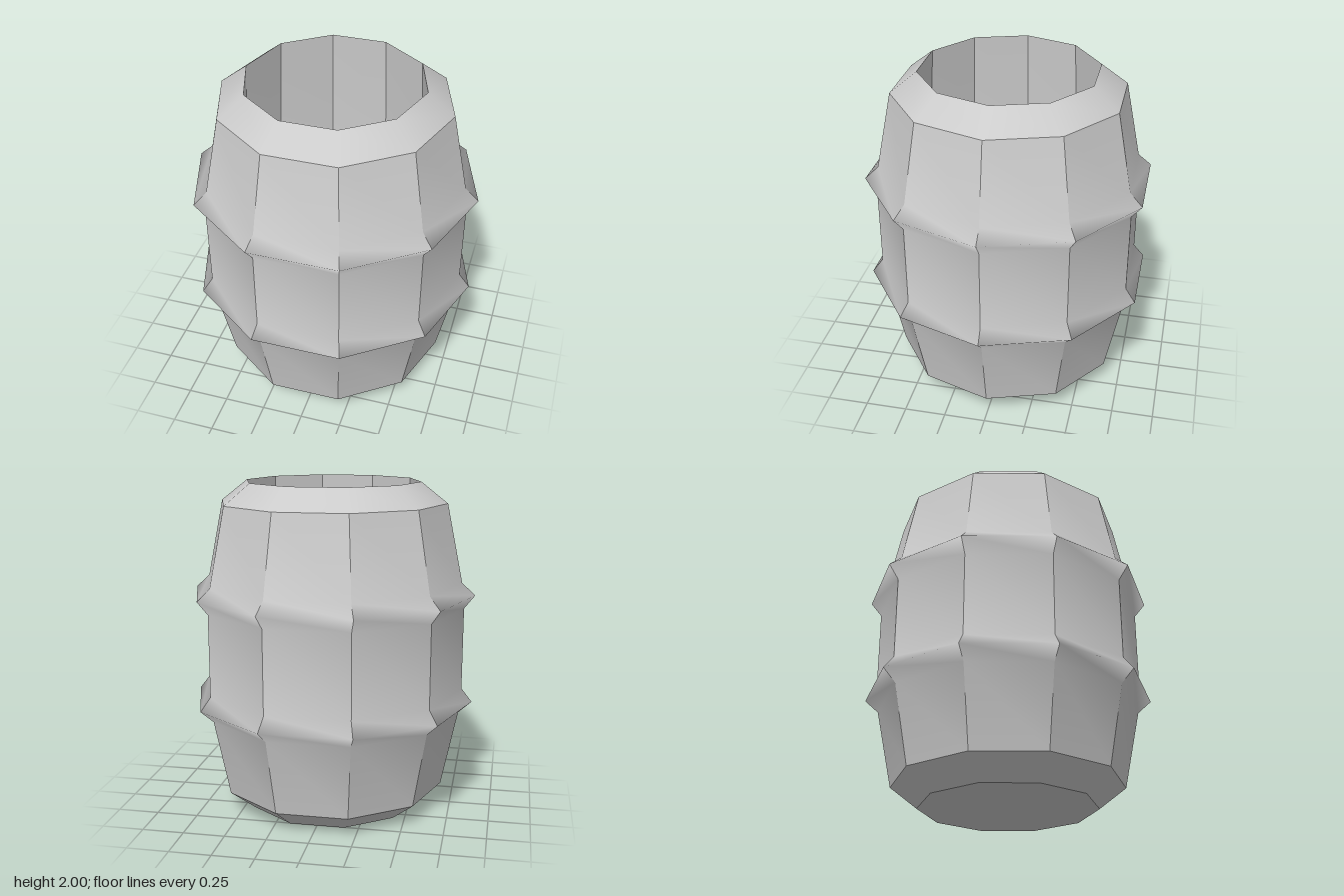
import * as THREE from 'three';
import { mergeGeometries } from 'three/addons/utils/BufferGeometryUtils.js';

const SIDES = 10;
const STEP = (Math.PI * 2) / SIDES;
const START = Math.PI / 2; // puts a corner on +x

const toPoints = (profile) => profile.map(([r, y]) => new THREE.Vector2(r, y));

// One strip per side: hard upright edges, smooth shading up and down
function facetedLathe(profile) {
  const strips = [];
  for (let i = 0; i < SIDES; i++) {
    const strip = new THREE.LatheGeometry(toPoints(profile), 1, START + i * STEP, STEP);
    strip.computeVertexNormals();
    strips.push(strip);
  }
  return mergeGeometries(strips);
}

const smoothLathe = (profile) => new THREE.LatheGeometry(toPoints(profile), SIDES, START);

function disc(radius, y, faceUp) {
  const geometry = new THREE.CircleGeometry(radius, SIDES);
  geometry.rotateX(faceUp ? -Math.PI / 2 : Math.PI / 2);
  return geometry.translate(0, y, 0);
}

export function createModel() {
  const group = new THREE.Group();
  const material = new THREE.MeshStandardMaterial({ color: 0xcccccc });
  const add = (name, geometry) => {
    const mesh = new THREE.Mesh(geometry, material);
    mesh.name = name;
    group.add(mesh);
  };

  // Bulging staves with two ridged hoops, mirrored about mid height
  const lower = [[0.69, 0.125], [0.787, 0.595], [0.867, 0.668], [0.803, 0.75]];
  const upper = lower.map(([r, y]) => [r, 2 - y]).reverse();
  add('staves', facetedLathe([...lower, ...upper]));

  // Sloping ends
  add('bottomBevel', smoothLathe([[0.53, 0], [0.69, 0.125]]));
  add('topBevel', smoothLathe([[0.69, 1.875], [0.53, 2]]));

  // Base, and the open hollow inside
  add('base', disc(0.53, 0, false));
  add('innerWall', facetedLathe([[0.53, 2], [0.56, 1.5], [0.57, 1], [0.56, 0.5], [0.54, 0.1]]));
  add('innerFloor', disc(0.54, 0.1, true));

  return group;
}
